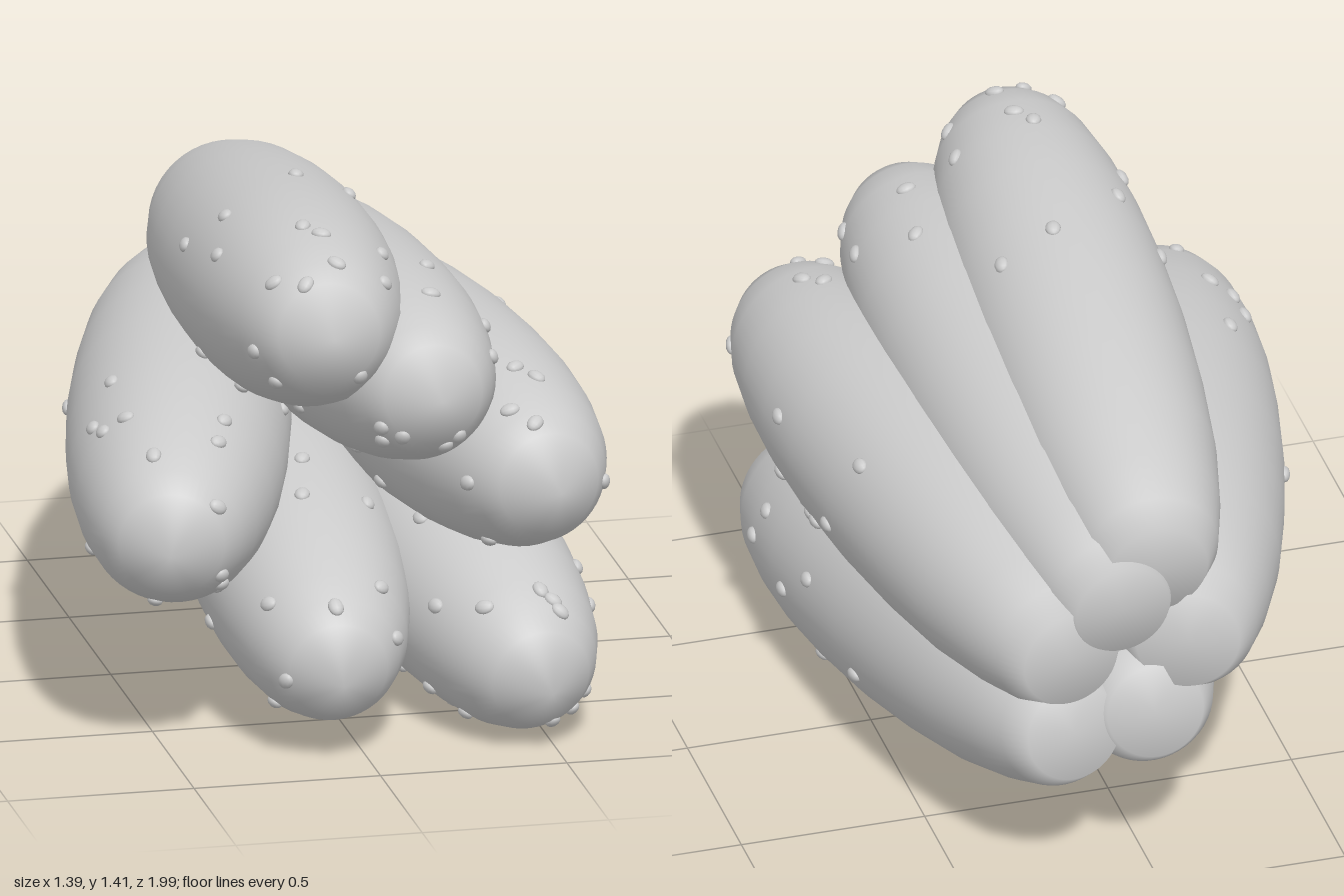
import * as THREE from 'three';

// Pod axes: front tip and centre of the blunt back end
const PODS = [
  { name: 'topPod', tip: [-0.12, 1.2, 0.99], end: [0.0, 0.95, -0.97], r: 0.287 },
  { name: 'upperLeftPod', tip: [0.17, 1.01, 0.99], end: [0.1, 0.85, -0.98], r: 0.28 },
  { name: 'leftPod', tip: [0.49, 0.735, 0.985], end: [0.24, 0.72, -0.975], r: 0.29 },
  { name: 'lowerLeftPod', tip: [0.47, 0.18, 0.97], end: [0.23, 0.49, -0.97], r: 0.285 },
  { name: 'lowerRightPod', tip: [-0.09, 0.24, 0.97], end: [0.01, 0.52, -0.975], r: 0.28 },
  { name: 'rightPod', tip: [-0.55, 0.62, 0.945], end: [-0.08, 0.72, -0.97], r: 0.295 },
];

// Profile: [relative radius, position along the axis from -1 (back) to 1 (tip)]
const PROFILE = [
  [0.46, -1], [0.62, -0.92], [0.75, -0.78], [0.88, -0.57], [0.96, -0.32], [1, -0.06],
  [0.99, 0.2], [0.95, 0.4], [0.87, 0.58], [0.75, 0.74], [0.62, 0.835], [0.47, 0.9],
];

function radiusAt(t) {
  for (let i = 1; i < PROFILE.length; i++) {
    const [r0, t0] = PROFILE[i - 1], [r1, t1] = PROFILE[i];
    if (t <= t1) return r0 + ((r1 - r0) * (t - t0)) / (t1 - t0);
  }
  return 0.47 * (1 - t) / 0.1;
}

function seeded(seed) {
  let s = seed;
  return () => (s = (s * 16807) % 2147483647) / 2147483647;
}

// Smooth pod whose normals point along the axis at both poles
function podGeometry(r, half) {
  const points = [[0, -1], ...PROFILE, [0, 1]].map(([x, t]) => new THREE.Vector2(x * r, t * half));
  const geometry = new THREE.LatheGeometry(points, 48);
  const { position, normal } = geometry.attributes;
  for (let i = 0; i < position.count; i++) {
    if (Math.hypot(position.getX(i), position.getZ(i)) < 1e-6) {
      normal.setXYZ(i, 0, Math.sign(position.getY(i)), 0);
    }
  }
  return geometry;
}

export function createModel() {
  const group = new THREE.Group();
  const material = new THREE.MeshStandardMaterial({ color: 0xcccccc });
  const bumpGeometry = new THREE.SphereGeometry(0.023, 12, 8);
  const up = new THREE.Vector3(0, 1, 0);
  const outward = new THREE.Vector3(0, 0, 1);
  const random = seeded(4217);

  for (const { name, tip, end, r } of PODS) {
    const a = new THREE.Vector3(...end), b = new THREE.Vector3(...tip);
    const half = a.distanceTo(b) / 2;
    const pod = new THREE.Group();
    pod.name = name;
    pod.position.copy(a).add(b).multiplyScalar(0.5);
    pod.quaternion.setFromUnitVectors(up, b.clone().sub(a).normalize());

    // Body: tapered pod with a rounded tip and a blunt back end
    const body = new THREE.Mesh(podGeometry(r, half), material);
    body.name = 'podBody';
    pod.add(body);

    // Bumps: flattened beads scattered over the front half
    for (let i = 0; i < 22; i++) {
      const t = 0.89 - 1.05 * Math.pow(random(), 1.7);
      const angle = random() * Math.PI * 2;
      const radius = radiusAt(t) * r;
      const slope = (radiusAt(t + 0.03) - radiusAt(t - 0.03)) * r / (0.06 * half);
      const normal = new THREE.Vector3(Math.cos(angle), -slope, Math.sin(angle)).normalize();
      const bump = new THREE.Mesh(bumpGeometry, material);
      bump.name = 'bump';
      bump.position.set(Math.cos(angle) * radius, t * half, Math.sin(angle) * radius);
      bump.quaternion.setFromUnitVectors(outward, normal);
      bump.scale.set(0.9, 1.15, 0.65);
      pod.add(bump);
    }
    group.add(pod);
  }
  return group;
}
